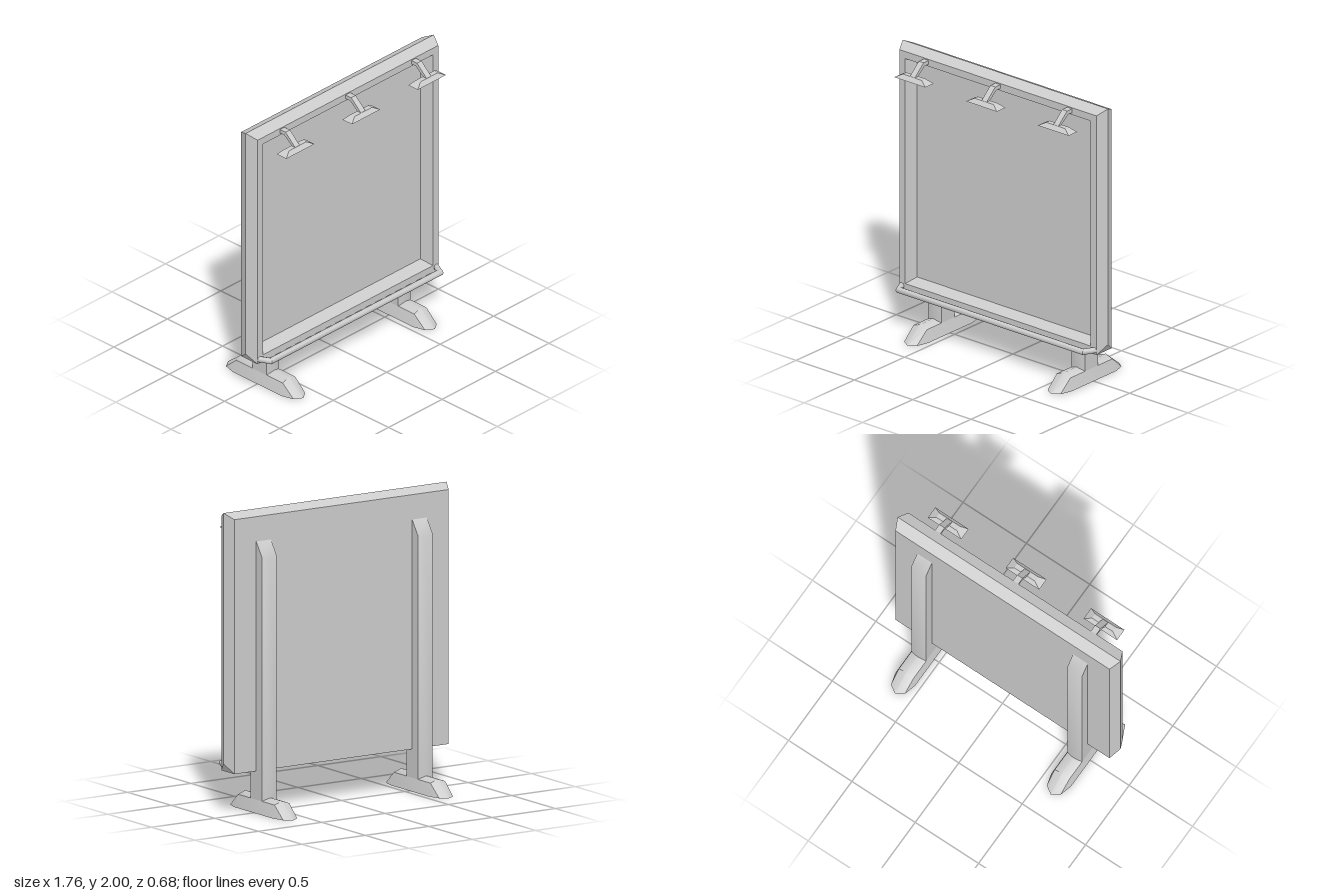
import * as THREE from 'three';
import { toCreasedNormals } from 'three/addons/utils/BufferGeometryUtils.js';

const grey = new THREE.MeshStandardMaterial({ color: 0xcccccc });
const greyDouble = new THREE.MeshStandardMaterial({ color: 0xcccccc, side: THREE.DoubleSide });

// Polygons (lists of [x, y, z] corners) to a geometry, smooth below the crease angle
function facets(polygons, crease = 0.1) {
  const pos = [];
  for (const p of polygons)
    for (let i = 1; i < p.length - 1; i++) pos.push(...p[0], ...p[i], ...p[i + 1]);
  const g = new THREE.BufferGeometry();
  g.setAttribute('position', new THREE.Float32BufferAttribute(pos, 3));
  return toCreasedNormals(g, crease);
}

// Quads between two rows of points
function band(a, b, closed) {
  const quads = [];
  for (let i = 0; i < a.length - (closed ? 0 : 1); i++) {
    const j = (i + 1) % a.length;
    quads.push([a[i], a[j], b[j], b[i]]);
  }
  return quads;
}

function loft(rows, closed) {
  return rows.slice(1).flatMap((row, k) => band(rows[k], row, closed));
}

function add(parent, name, geometry, material = grey) {
  const m = new THREE.Mesh(geometry, material);
  m.name = name;
  parent.add(m);
  return m;
}

// Board with ridged rim and a recessed panel
function boardGeometry() {
  const rect = (w, y0, y1, z) => [[-w, y0, z], [w, y0, z], [w, y1, z], [-w, y1, z]];
  const back = rect(0.845, 0.275, 1.965, 0);
  const ridge = rect(0.88, 0.335, 2, 0.075);
  const front = rect(0.845, 0.275, 1.965, 0.15);
  const lip = rect(0.795, 0.325, 1.915, 0.15);
  const panel = rect(0.77, 0.35, 1.89, 0.06);
  return facets([
    [...back].reverse(),
    ...band(back, ridge, true).slice(1),
    ...band(ridge, front, true).slice(1),
    band(back, front, true)[0], // flat underside
    [back[1], ridge[1], front[1]], // slanted lower corners
    [front[0], ridge[0], back[0]],
    ...loft([front, lip, panel], true),
    panel,
  ]);
}

// Half of a post: flat at z = 0, bulging to dir * z, with an optional slanted top
function halfPost(dir, y0, y1, slope) {
  const s = new THREE.Shape([[-0.058, 0], [0.058, 0], [0.058, 0.065], [0, 0.08], [-0.058, 0.065]]
    .map(([x, z]) => new THREE.Vector2(x, -dir * z)));
  const g = new THREE.ExtrudeGeometry(s, { depth: y1 - y0, bevelEnabled: false });
  g.rotateX(-Math.PI / 2).translate(0, y0, 0);
  const p = g.attributes.position;
  for (let i = 0; i < p.count; i++)
    if (p.getY(i) > (y0 + y1) / 2) p.setY(i, y1 - slope * Math.abs(p.getZ(i)));
  return toCreasedNormals(g, 0.7);
}

// Arched foot, open underneath, tapering to both ends
function footGeometry() {
  const tip = (d) => [[-0.078, 0, 0.22 * d], [-0.055, 0, 0.305 * d], [0, 0, 0.34 * d],
    [0.055, 0, 0.305 * d], [0.078, 0, 0.22 * d]];
  const arch = (d) => [[-0.078, 0, 0.22 * d], [-0.058, 0.085, 0.21 * d], [0, 0.105, 0.21 * d],
    [0.058, 0.085, 0.21 * d], [0.078, 0, 0.22 * d]];
  return facets(loft([tip(1), arch(1), arch(-1), tip(-1)], false), 0.7);
}

// Rail: an octagonal bar with mitred corners; each entry is x, z and the mitre direction
function railGeometry() {
  const path = [[0.83, 0.14, 1, 0], [0.79, 0.218, 0.61, 1], [-0.79, 0.218, -0.61, 1], [-0.83, 0.14, -1, 0]];
  const rows = path.map(([x, z, nx, nz]) => Array.from({ length: 8 }, (_, i) => {
    const c = 0.021 * Math.cos(i * Math.PI / 4), s = 0.021 * Math.sin(i * Math.PI / 4);
    return [x + c * nx, 0.304 + s, z + c * nz];
  }));
  return facets(loft(rows, true), 0.9);
}

// Bent lamp arm, profile drawn in z and y
function armGeometry() {
  const profile = [[0.145, 1.957], [0.2, 1.957], [0.287, 1.878], [0.255, 1.878], [0.19, 1.93], [0.145, 1.93]];
  const s = new THREE.Shape(profile.map(([z, y]) => new THREE.Vector2(z, y)));
  const g = new THREE.ExtrudeGeometry(s, { depth: 0.042, bevelEnabled: false });
  return g.translate(0, 0, -0.021).rotateY(-Math.PI / 2);
}

// Lamp shade: a box narrowed at the top
function shadeGeometry() {
  const g = new THREE.BoxGeometry(0.264, 0.028, 0.086);
  const p = g.attributes.position;
  for (let i = 0; i < p.count; i++)
    if (p.getY(i) > 0) p.setXYZ(i, p.getX(i) * 0.62, p.getY(i), p.getZ(i) * 0.42);
  return toCreasedNormals(g.translate(0, 1.864, 0.271), 0.1);
}

export function createModel() {
  const model = new THREE.Group();
  model.name = 'billboard';
  add(model, 'board', boardGeometry());
  add(model, 'frontRail', railGeometry());

  // Two stands
  for (const side of [1, -1]) {
    const stand = new THREE.Group();
    stand.name = side > 0 ? 'leftStand' : 'rightStand';
    stand.position.x = side * 0.615;
    add(stand, 'rearPost', halfPost(-1, 0.075, 1.8, 1.45));
    add(stand, 'lowerFrontPost', halfPost(1, 0.075, 0.3, 0));
    add(stand, 'foot', footGeometry(), greyDouble);
    model.add(stand);
  }

  // Three lamps along the top
  for (const x of [-0.615, 0, 0.615]) {
    const lamp = new THREE.Group();
    lamp.name = 'lamp';
    lamp.position.x = x;
    add(lamp, 'lampArm', armGeometry());
    add(lamp, 'lampShade', shadeGeometry());
    model.add(lamp);
  }
  return model;
}
